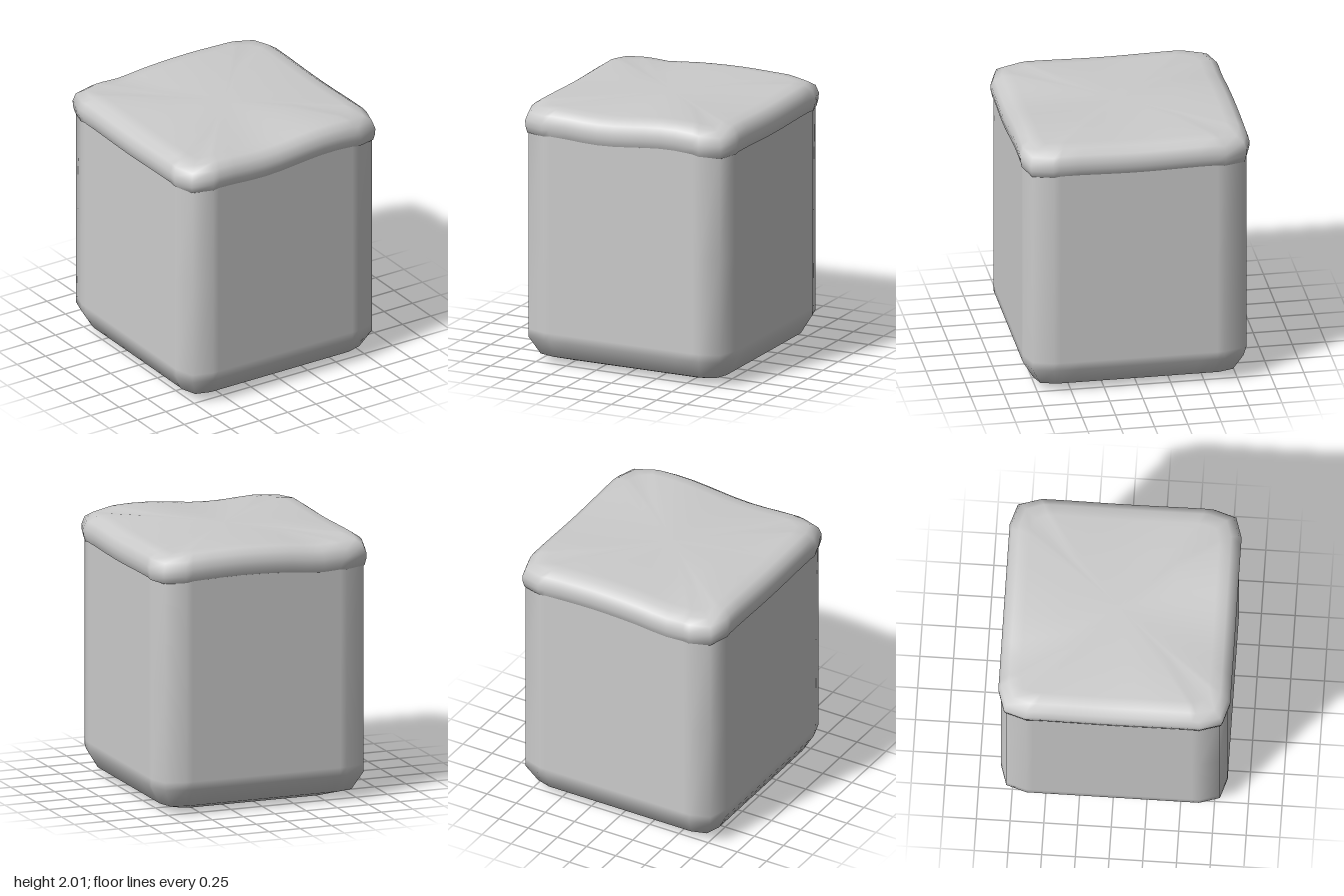
import * as THREE from 'three';

// Evenly placed stations along a straight side, with tight ones near the corners
const STATIONS = [-1, -0.92, -0.7, -0.5, -0.3, -0.1, 0.1, 0.3, 0.5, 0.7, 0.92, 1];

// Square outline with softened corners: straight sides reach +-inner, corner has one mid point
function outline(half, inner) {
  const mid = inner + (half - inner) * 0.76;
  const side = [...STATIONS.map((s) => [half, s * inner]), [mid, mid]];
  const points = [];
  for (let k = 0; k < 4; k++) {
    for (let [x, z] of side) {
      for (let r = 0; r < k; r++) [x, z] = [-z, x];
      points.push([x, z]);
    }
  }
  return points;
}

// Skin a stack of outlines [half, inner, y] from bottom to top, optionally closed at the top
function loft(rings, lift = () => 0, closeTop = false) {
  const positions = [];
  const index = [];
  const n = STATIONS.length * 4 + 4;
  for (const [half, inner, y] of rings) {
    for (const [x, z] of outline(half, inner)) positions.push(x, y + lift(x, z), z);
  }
  for (let r = 0; r < rings.length - 1; r++) {
    for (let i = 0; i < n; i++) {
      const a = r * n + i;
      const b = r * n + ((i + 1) % n);
      index.push(a, a + n, b, b, a + n, b + n);
    }
  }
  if (closeTop) {
    const start = (rings.length - 1) * n;
    positions.push(0, rings[rings.length - 1][2] + lift(0, 0), 0);
    for (let i = 0; i < n; i++) index.push(start + i, start + n, start + ((i + 1) % n));
  }
  const geometry = new THREE.BufferGeometry();
  geometry.setAttribute('position', new THREE.Float32BufferAttribute(positions, 3));
  geometry.setIndex(index);
  geometry.computeVertexNormals();
  return geometry;
}

const bump = (t, centre, width) => Math.exp(-(((t - centre) / width) ** 2));

// Gentle sagging and swelling of the cap along its edges, with drooping corners
function capWave(x, z) {
  const front = THREE.MathUtils.smoothstep(z, 0.1, 0.8);
  const back = THREE.MathUtils.smoothstep(-z, 0.1, 0.8);
  const sides = THREE.MathUtils.smoothstep(Math.abs(x), 0.3, 0.8);
  const corner = THREE.MathUtils.smoothstep(Math.min(Math.abs(x), Math.abs(z)), 0.56, 0.68);
  return front * (0.022 * bump(x, 0.4, 0.3) - 0.022 * bump(x, -0.2, 0.3))
    + back * (0.012 * bump(x, 0.2, 0.3) - 0.025 * bump(x, -0.45, 0.2))
    - sides * 0.012 * bump(z, 0, 0.4)
    - corner * 0.014;
}

export function createModel() {
  const group = new THREE.Group();
  const material = new THREE.MeshStandardMaterial({ color: 0xcccccc, side: THREE.DoubleSide });

  // Hollow block, open underneath, with its lower rim curling inward
  const body = new THREE.Mesh(loft([
    [0.585, 0.51, 0],
    [0.76, 0.61, 0.06],
    [0.84, 0.64, 0.2],
    [0.84, 0.64, 0.26],
    [0.84, 0.64, 1.0],
    [0.84, 0.64, 1.88],
  ]), material);
  body.name = 'body';

  // Soft puffy cap overhanging the block
  const cap = new THREE.Mesh(loft([
    [0.832, 0.63, 1.785],
    [0.848, 0.64, 1.79],
    [0.858, 0.65, 1.84],
    [0.86, 0.65, 1.885],
    [0.84, 0.64, 1.945],
    [0.785, 0.615, 1.982],
    [0.7, 0.58, 1.99],
    [0.4, 0.34, 1.995],
  ], capWave, true), material);
  cap.name = 'cap';

  group.add(body, cap);
  return group;
}
